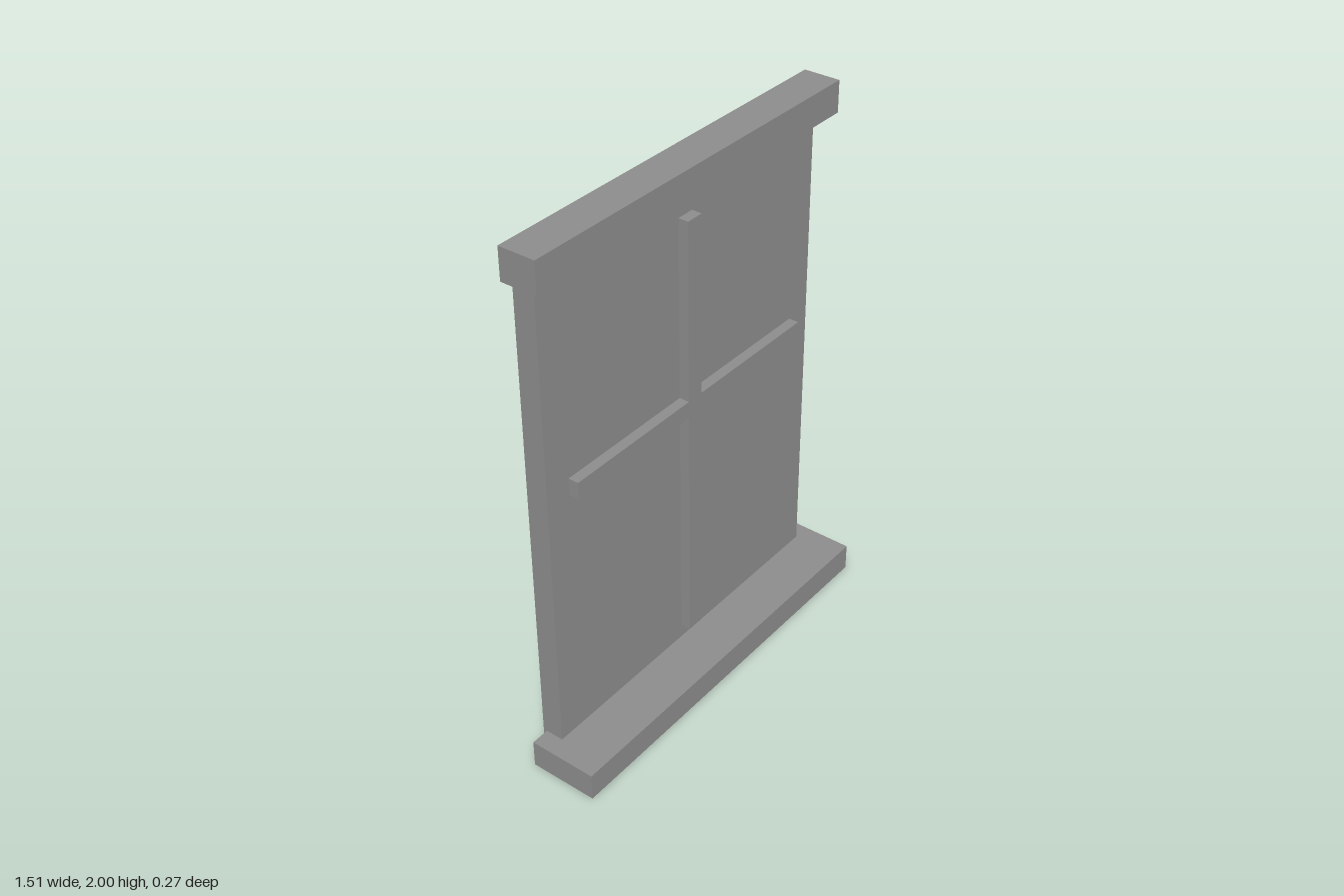
import * as THREE from 'three';

export function createModel() {
  const group = new THREE.Group();
  const grey = new THREE.MeshStandardMaterial({ color: 0x8c8c8c });
  grey.name = 'grey';

  const add = (name, geometry) => {
    const mesh = new THREE.Mesh(geometry, grey);
    mesh.name = name;
    group.add(mesh);
  };

  // Box spanning -halfWidth..halfWidth in x and the given y and z ranges
  const slab = (name, halfWidth, y0, y1, z0, z1) => {
    const geometry = new THREE.BoxGeometry(2 * halfWidth, y1 - y0, z1 - z0);
    add(name, geometry.translate(0, (y0 + y1) / 2, (z0 + z1) / 2));
  };

  slab('windowPanel', 0.687, 0.055, 1.905, -0.135, -0.053);
  slab('lintel', 0.74, 1.885, 2, -0.129, 0.007);
  slab('sill', 0.756, 0, 0.104, -0.121, 0.135);

  // Cross-shaped glazing bars, one solid piece
  const bar = 0.034, arm = 0.586;
  const bottom = 0.158, top = 1.806, low = 1.079, high = 1.143;
  const cross = new THREE.Shape([
    [-bar, bottom], [bar, bottom], [bar, low], [arm, low],
    [arm, high], [bar, high], [bar, top], [-bar, top],
    [-bar, high], [-arm, high], [-arm, low], [-bar, low],
  ].map(([x, y]) => new THREE.Vector2(x, y)));
  const bars = new THREE.ExtrudeGeometry(cross, { depth: 0.045, bevelEnabled: false });
  add('glazingBars', bars.translate(0, 0, -0.06));

  return group;
}
